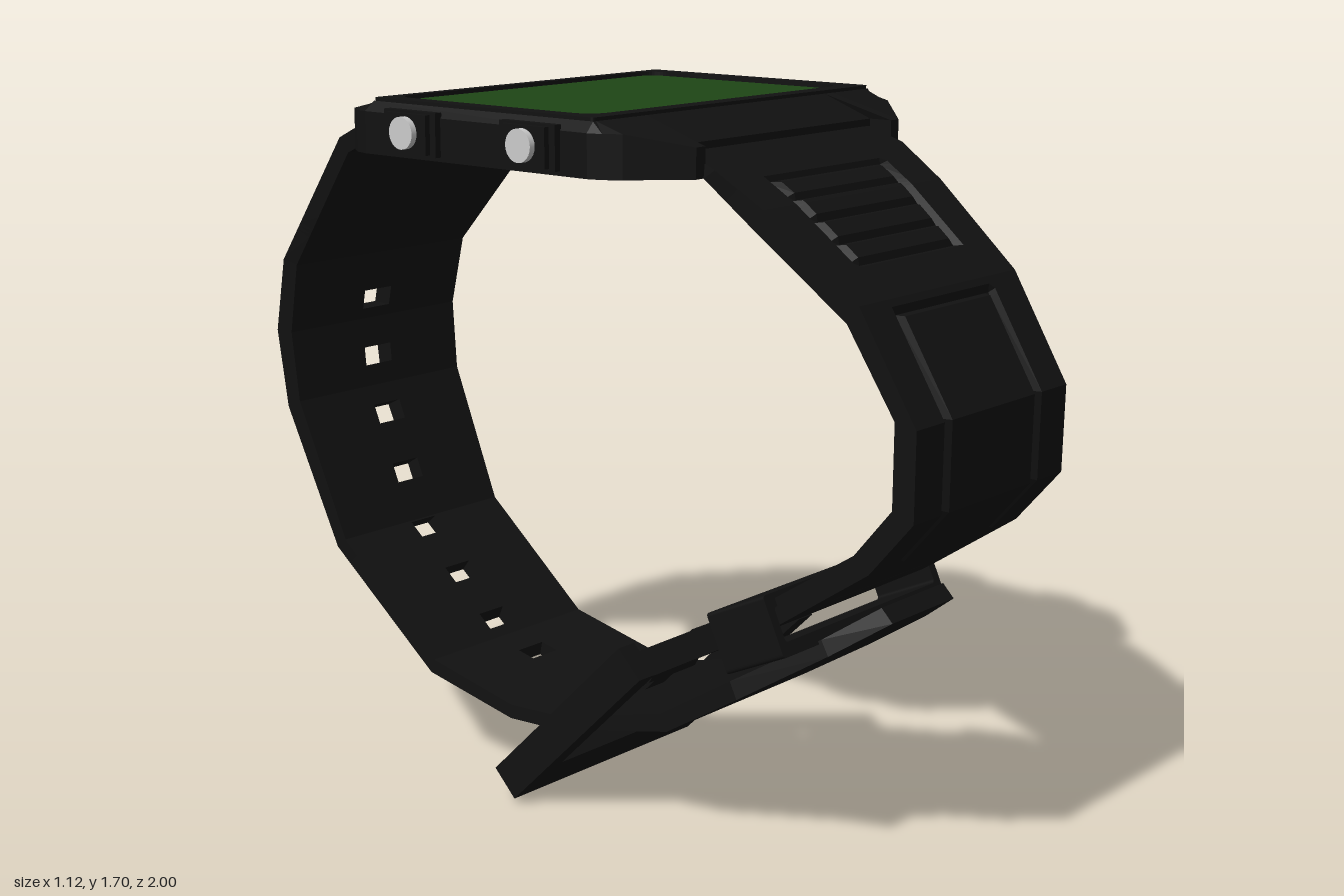
import * as THREE from 'three';

const black = new THREE.MeshStandardMaterial({ color: 0x111111, flatShading: true });
const green = new THREE.MeshStandardMaterial({ color: 0x1e4616 });
const metal = new THREE.MeshStandardMaterial({ color: 0xcccccc });

function add(parent, name, geometry, material, x = 0, y = 0, z = 0) {
  const mesh = new THREE.Mesh(geometry, material);
  mesh.name = name;
  mesh.position.set(x, y, z);
  parent.add(mesh);
  return mesh;
}

// Collects quads (corners counter-clockwise from outside)
function quadBuilder() {
  const pos = [];
  return {
    quad(a, b, c, d) { for (const p of [a, b, c, a, c, d]) pos.push(...p); },
    build() {
      const g = new THREE.BufferGeometry();
      g.setAttribute('position', new THREE.Float32BufferAttribute(pos, 3));
      g.computeVertexNormals();
      return g;
    },
  };
}

function roundedRect(path, x0, y0, x1, y1, r) {
  path.moveTo(x0 + r, y0).lineTo(x1 - r, y0).quadraticCurveTo(x1, y0, x1, y0 + r);
  path.lineTo(x1, y1 - r).quadraticCurveTo(x1, y1, x1 - r, y1);
  path.lineTo(x0 + r, y1).quadraticCurveTo(x0, y1, x0, y1 - r);
  path.lineTo(x0, y0 + r).quadraticCurveTo(x0, y0, x0 + r, y0);
  return path;
}

// Strap lofted along stations [outer z, outer y, inner z, inner y, half width],
// with pressed grooves on the outside and optional rectangular holes.
function strapGeometry(path, flip, panels, ribs, holes) {
  const cols = [-1, -0.65, -0.6, -0.55, -0.16, 0.16, 0.55, 0.6, 0.65, 1];
  const len = [0];
  for (let i = 1; i < path.length; i++)
    len.push(len[i - 1] + Math.hypot(path[i][0] - path[i - 1][0], path[i][1] - path[i - 1][1]));
  const cross = [...panels.flat(), ...ribs];
  const HL = 0.027;
  const rows = [...new Set([...len, ...cross.flatMap(s => [s - 0.013, s, s + 0.013]),
    ...holes.flatMap(s => [s - HL, s + HL])])].sort((a, b) => a - b);

  const point = (s, u, inner) => {
    let k = 0;
    while (k < len.length - 2 && s > len[k + 1]) k++;
    const t = (s - len[k]) / (len[k + 1] - len[k]);
    const [zo, yo, zi, yi, w] = path[k].map((v, n) => v + (path[k + 1][n] - v) * t);
    const groove = (Math.abs(u) <= 0.6 && cross.includes(s)) ||
      (Math.abs(u) === 0.6 && panels.some(([a, b]) => s >= a && s <= b));
    const d = inner ? 1 : groove ? 0.25 : 0;
    const y = yo + (yi - yo) * d;
    return [u * w - 0.015 * (1.6 - y), y, zo + (zi - zo) * d];
  };
  const solid = (i, j) => {
    if (i < 0 || j < 0 || i >= rows.length - 1 || j >= cols.length - 1) return false;
    const s = (rows[i] + rows[i + 1]) / 2;
    return !(cols[j] === -0.16 && holes.some(h => Math.abs(s - h) < HL));
  };
  const b = quadBuilder();
  const put = (...q) => (flip ? b.quad(...q.reverse()) : b.quad(...q));
  for (let i = 0; i < rows.length - 1; i++) for (let j = 0; j < cols.length - 1; j++) {
    if (!solid(i, j)) continue;
    const at = [[i, j], [i + 1, j], [i + 1, j + 1], [i, j + 1]];
    const o = at.map(([r, c]) => point(rows[r], cols[c], false));
    const n = at.map(([r, c]) => point(rows[r], cols[c], true));
    put(...o);
    put(n[3], n[2], n[1], n[0]);
    [[i, j - 1], [i + 1, j], [i, j + 1], [i - 1, j]].forEach(([r, c], e) => {
      const f = (e + 1) % 4;
      if (!solid(r, c)) put(o[e], n[e], n[f], o[f]);
    });
  }
  return b.build();
}

// Case wall: plan outline lofted through three levels, sloping towards the lugs
function caseGeometry() {
  const half = [[0.34, -0.53], [0.34, -0.585], [0.375, -0.585], [0.48, -0.475], [0.505, -0.44], [0.515, -0.4],
    [0.515, 0.29], [0.505, 0.325], [0.48, 0.36], [0.37, 0.47], [0.34, 0.47], [0.34, 0.41]];
  const plan = [...half, ...half.map(([x, z]) => [-x, z]).reverse()];
  const rings = [
    plan.map(([x, z]) => [x, 1.575, z]),
    plan.map(([x, z]) => [x, z < -0.5 || z > 0.4 ? 1.643 : 1.672, z]),
    plan.map(([x, z]) => [x - Math.sign(x) * 0.02, 1.695, THREE.MathUtils.clamp(z, -0.39, 0.29)]),
  ];
  const b = quadBuilder();
  for (let r = 0; r < 2; r++) for (let i = 0; i < plan.length; i++) {
    const k = (i + 1) % plan.length;
    b.quad(rings[r][i], rings[r + 1][i], rings[r + 1][k], rings[r][k]);
  }
  return { wall: b.build(), plan };
}

export function createModel() {
  const model = new THREE.Group();
  model.name = 'wristwatch';

  // Case body and back
  const { wall, plan } = caseGeometry();
  add(model, 'caseBody', wall, black);
  const back = new THREE.ShapeGeometry(new THREE.Shape(plan.map(([x, z]) => new THREE.Vector2(x, z))));
  add(model, 'caseBack', back.rotateX(Math.PI / 2), black, 0, 1.575, 0);

  // Bezel, display surround and display (shape y is -z)
  const bezel = roundedRect(new THREE.Shape(), -0.495, -0.29, 0.495, 0.39, 0.01);
  bezel.holes.push(roundedRect(new THREE.Path(), -0.45, -0.245, 0.45, 0.365, 0.06));
  add(model, 'bezel', new THREE.ExtrudeGeometry(bezel, { depth: 0.03, bevelEnabled: false }).rotateX(-Math.PI / 2),
    black, 0, 1.673, 0);
  add(model, 'displaySurround', new THREE.BoxGeometry(0.94, 0.02, 0.65), black, 0, 1.68, -0.06);
  const screen = roundedRect(new THREE.Shape(), -0.425, -0.225, 0.425, 0.345, 0.05);
  add(model, 'display', new THREE.ExtrudeGeometry(screen, { depth: 0.006, bevelEnabled: false }).rotateX(-Math.PI / 2),
    green, 0, 1.69, 0);

  // Buttons with their guards
  for (const side of [1, -1]) for (const z of [0.13, -0.235]) {
    const name = (side > 0 ? 'left' : 'right') + (z > 0 ? 'Front' : 'Rear');
    add(model, name + 'Guard', new THREE.BoxGeometry(0.03, 0.09, 0.13), black, side * 0.53, 1.635, z);
    add(model, name + 'GuardBase', new THREE.BoxGeometry(0.02, 0.1, 0.165), black, side * 0.521, 1.635, z);
    add(model, name + 'Button', new THREE.CylinderGeometry(0.037, 0.037, 0.05, 24).rotateZ(Math.PI / 2),
      metal, side * 0.535, 1.637, z);
  }

  // Straps
  const frontPath = [[0.4, 1.63, 0.4, 1.58, 0.335], [0.5, 1.595, 0.47, 1.575, 0.345], [0.62, 1.52, 0.59, 1.48, 0.33],
    [0.85, 1.34, 0.82, 1.3, 0.297], [1, 1.1, 0.945, 1.11, 0.292], [1, 0.9, 0.945, 0.92, 0.29],
    [0.89, 0.77, 0.85, 0.805, 0.288], [0.65, 0.605, 0.63, 0.66, 0.285], [0.22, 0.365, 0.2, 0.43, 0.26]];
  add(model, 'frontStrap', strapGeometry(frontPath, false, [[0.16, 0.43], [0.57, 1.4]], [0.225, 0.295, 0.365], []), black);
  const rearPath = [[-0.5, 1.64, -0.5, 1.58, 0.335], [-0.58, 1.625, -0.57, 1.58, 0.345], [-0.69, 1.575, -0.66, 1.54, 0.338],
    [-0.96, 1.24, -0.91, 1.23, 0.297], [-1, 1.05, -0.945, 1.05, 0.29], [-0.97, 0.85, -0.925, 0.87, 0.285],
    [-0.8, 0.5, -0.77, 0.525, 0.275], [-0.46, 0.235, -0.45, 0.27, 0.27], [-0.18, 0.18, -0.18, 0.215, 0.268],
    [-0.02, 0.19, -0.02, 0.225, 0.268], [0.32, 0.27, 0.3, 0.31, 0.265], [0.52, 0.395, 0.5, 0.435, 0.26],
    [0.72, 0.525, 0.7, 0.56, 0.19], [0.84, 0.61, 0.81, 0.64, 0.12]];
  const holes = Array.from({ length: 8 }, (_, i) => 0.77 + i * 0.17);
  add(model, 'rearStrap', strapGeometry(rearPath, true, [[0.22, 0.51], [0.64, 2.06]], [0.29, 0.36, 0.43], holes), black);

  // Keeper loop around the front strap
  const loop = roundedRect(new THREE.Shape(), -0.31, -0.072, 0.31, 0.072, 0.01);
  loop.holes.push(roundedRect(new THREE.Path(), -0.287, -0.04, 0.287, 0.04, 0.01));
  const keeper = add(model, 'keeperLoop', new THREE.ExtrudeGeometry(loop, { depth: 0.175, bevelEnabled: false })
    .translate(0, 0, -0.0875), black, -0.025, 0.577, 0.587);
  keeper.rotation.x = -0.44;

  // Buckle: open frame, hinge pin, hinge sleeve and prong
  const buckle = new THREE.Group();
  buckle.name = 'buckle';
  buckle.position.set(-0.02, 0.035, -0.145);
  buckle.rotation.set(Math.PI / 4, 0, -0.02);
  const frame = new THREE.Shape([[-0.335, 0], [0.335, 0], [0.335, 0.56], [0.28, 0.56], [0.28, 0.15],
    [-0.28, 0.15], [-0.28, 0.56], [-0.335, 0.56]].map(p => new THREE.Vector2(...p)));
  const frameGeo = new THREE.ExtrudeGeometry(frame, { depth: 0.09, bevelEnabled: false }).translate(0, 0, -0.045);
  add(buckle, 'buckleFrame', frameGeo, black);
  add(buckle, 'hingePin', new THREE.CylinderGeometry(0.025, 0.025, 0.6, 12).rotateZ(Math.PI / 2), black, 0, 0.5, 0);
  for (const side of [1, -1])
    add(buckle, 'hingeSleeve', new THREE.CylinderGeometry(0.04, 0.04, 0.17, 12).rotateZ(Math.PI / 2),
      black, side * 0.16, 0.5, 0);
  add(buckle, 'prong', new THREE.BoxGeometry(0.07, 0.42, 0.03), black, 0, 0.31, -0.025);
  model.add(buckle);

  return model;
}
